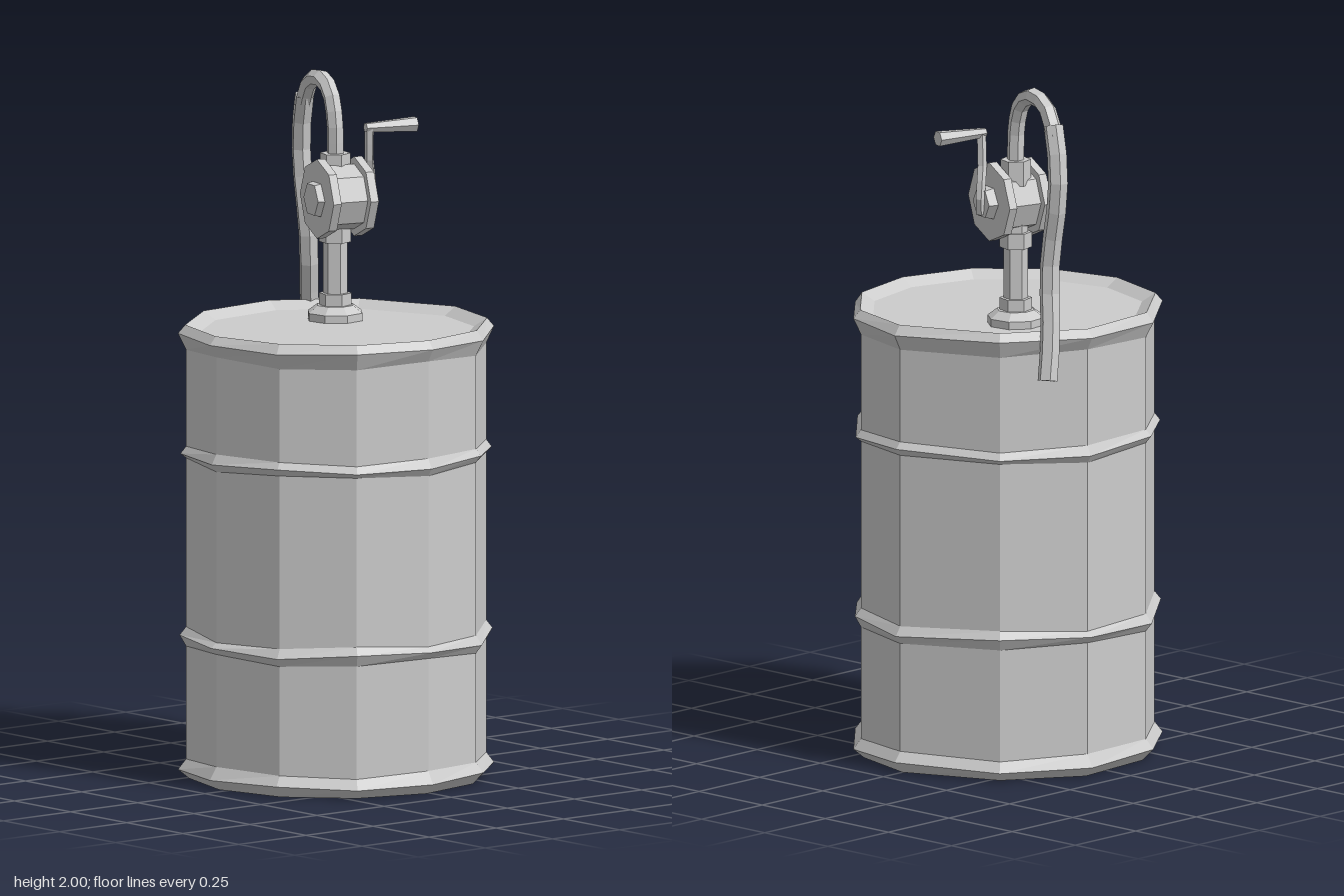
import * as THREE from 'three';

const material = new THREE.MeshStandardMaterial({ color: 0xcccccc, flatShading: true });

function part(parent, name, geometry, position = [0, 0, 0]) {
  const flat = geometry.index ? geometry.toNonIndexed() : geometry;
  flat.computeVertexNormals();
  const mesh = new THREE.Mesh(flat, material);
  mesh.name = name;
  mesh.position.set(...position);
  parent.add(mesh);
  return mesh;
}

// Upright prism from y0 to y1
function prism(parent, name, rBottom, rTop, y0, y1, sides, x = 0, z = 0) {
  const g = new THREE.CylinderGeometry(rTop, rBottom, y1 - y0, sides);
  return part(parent, name, g, [x, (y0 + y1) / 2, z]);
}

// Prism lying along x from x0 to x1
function axle(parent, name, r0, r1, x0, x1, sides, y = 0, z = 0) {
  const g = new THREE.CylinderGeometry(r1, r0, x1 - x0, sides).rotateZ(-Math.PI / 2);
  return part(parent, name, g, [(x0 + x1) / 2, y, z]);
}

// Low-poly tube through points, closed at both ends
function pipe(parent, name, points, radius, segments, sides = 6) {
  const curve = new THREE.CatmullRomCurve3(points.map(p => new THREE.Vector3(...p)));
  part(parent, name, new THREE.TubeGeometry(curve, segments, radius, sides));
  for (const [t, sign] of [[0, -1], [1, 1]]) {
    const cap = part(parent, name + 'End', new THREE.CircleGeometry(radius, sides));
    cap.position.copy(curve.getPointAt(t));
    cap.quaternion.setFromUnitVectors(new THREE.Vector3(0, 0, 1),
      curve.getTangentAt(t).multiplyScalar(sign));
  }
}

// Uneven eleven-sided outline (x, z), counter-clockwise from above
const outline = [
  [0.453, 0], [0.327, -0.295], [0.10, -0.443], [-0.18, -0.417], [-0.388, -0.254], [-0.456, -0.03],
  [-0.40, 0.20], [-0.24, 0.37], [-0.015, 0.437], [0.215, 0.385], [0.39, 0.224],
];

// Drum profile from bottom centre to lid centre: scale of outline, height, wobble
const profile = [
  [0, 0, 0], [0.93, 0, 0], [1, 0.03, 0.004], [0.95, 0.062, 0.006],
  [0.95, 0.385, 0.008], [0.99, 0.41, 0.008], [0.95, 0.432, 0.008],
  [0.95, 0.927, 0.006], [0.985, 0.945, 0.006], [0.95, 0.968, 0.006],
  [0.95, 1.245, 0.008], [1, 1.288, 0.003], [0.955, 1.314, 0], [0.87, 1.29, 0], [0, 1.29, 0],
];

function drumGeometry() {
  const n = outline.length;
  const positions = [], indices = [];
  profile.forEach(([scale, y, wobble], row) => {
    outline.forEach(([x, z], i) => {
      positions.push(x * scale, y + wobble * Math.sin(i * 2.1 + row), z * scale);
    });
    if (row === 0) return;
    for (let i = 0; i < n; i++) {
      const j = (i + 1) % n;
      const a = (row - 1) * n + i, b = (row - 1) * n + j, c = row * n + j, d = row * n + i;
      if (row > 1) indices.push(a, b, c);
      if (row < profile.length - 1) indices.push(a, c, d);
    }
  });
  const g = new THREE.BufferGeometry();
  g.setAttribute('position', new THREE.Float32BufferAttribute(positions, 3));
  g.setIndex(indices);
  return g;
}

export function createModel() {
  const model = new THREE.Group();
  model.name = 'drumWithHandPump';
  part(model, 'drum', drumGeometry());

  // Standpipe with its fittings
  const stand = new THREE.Group();
  stand.name = 'standpipe';
  stand.position.set(0.115, 0, -0.155);
  stand.rotation.y = -Math.PI / 12;
  model.add(stand);
  prism(stand, 'baseFlange', 0.083, 0.083, 1.285, 1.312, 8);
  prism(stand, 'flangeBevel', 0.083, 0.055, 1.312, 1.333, 8);
  prism(stand, 'baseNut', 0.047, 0.047, 1.325, 1.367, 6);
  prism(stand, 'riser', 0.035, 0.035, 1.36, 1.75, 6);
  prism(stand, 'lowerCollar', 0.046, 0.046, 1.515, 1.56, 6);
  prism(stand, 'upperCollar', 0.044, 0.044, 1.70, 1.772, 6);

  // Pump housing, axis along local x
  const pump = new THREE.Group();
  pump.name = 'pump';
  pump.position.set(0.104, 1.648, -0.123);
  pump.rotation.y = -Math.PI / 12;
  model.add(pump);
  axle(pump, 'pumpBody', 0.094, 0.094, -0.05, 0.05, 8);
  for (const side of [-1, 1]) {
    axle(pump, 'pumpPlate', 0.115, 0.115, side * 0.0585 - 0.0125, side * 0.0585 + 0.0125, 8);
  }
  axle(pump, 'pumpCap', 0.05, 0.055, -0.09, -0.07, 6);
  axle(pump, 'crankHub', 0.052, 0.045, 0.07, 0.098, 6);

  // Crank arm and handle
  pipe(pump, 'crankArm',
    [[0.103, -0.03, -0.004], [0.108, 0.03, -0.012], [0.09, 0.1, 0.008], [0.085, 0.2, 0.021]], 0.014, 5, 5);
  axle(pump, 'crankHandle', 0.014, 0.023, 0.072, 0.23, 6, 0.2, 0.021);

  // Bent spout, joint and hanging hose
  pipe(model, 'spout', [
    [0.115, 1.76, -0.155], [0.115, 1.87, -0.158], [0.123, 1.945, -0.188],
    [0.138, 1.975, -0.245], [0.155, 1.955, -0.315], [0.17, 1.875, -0.365],
  ], 0.025, 10);
  pipe(model, 'hose', [
    [0.165, 1.91, -0.352], [0.175, 1.83, -0.376], [0.183, 1.72, -0.387], [0.178, 1.62, -0.368],
    [0.177, 1.53, -0.352], [0.185, 1.42, -0.356], [0.205, 1.31, -0.379], [0.235, 1.18, -0.396],
  ], 0.029, 9);
  return model;
}
